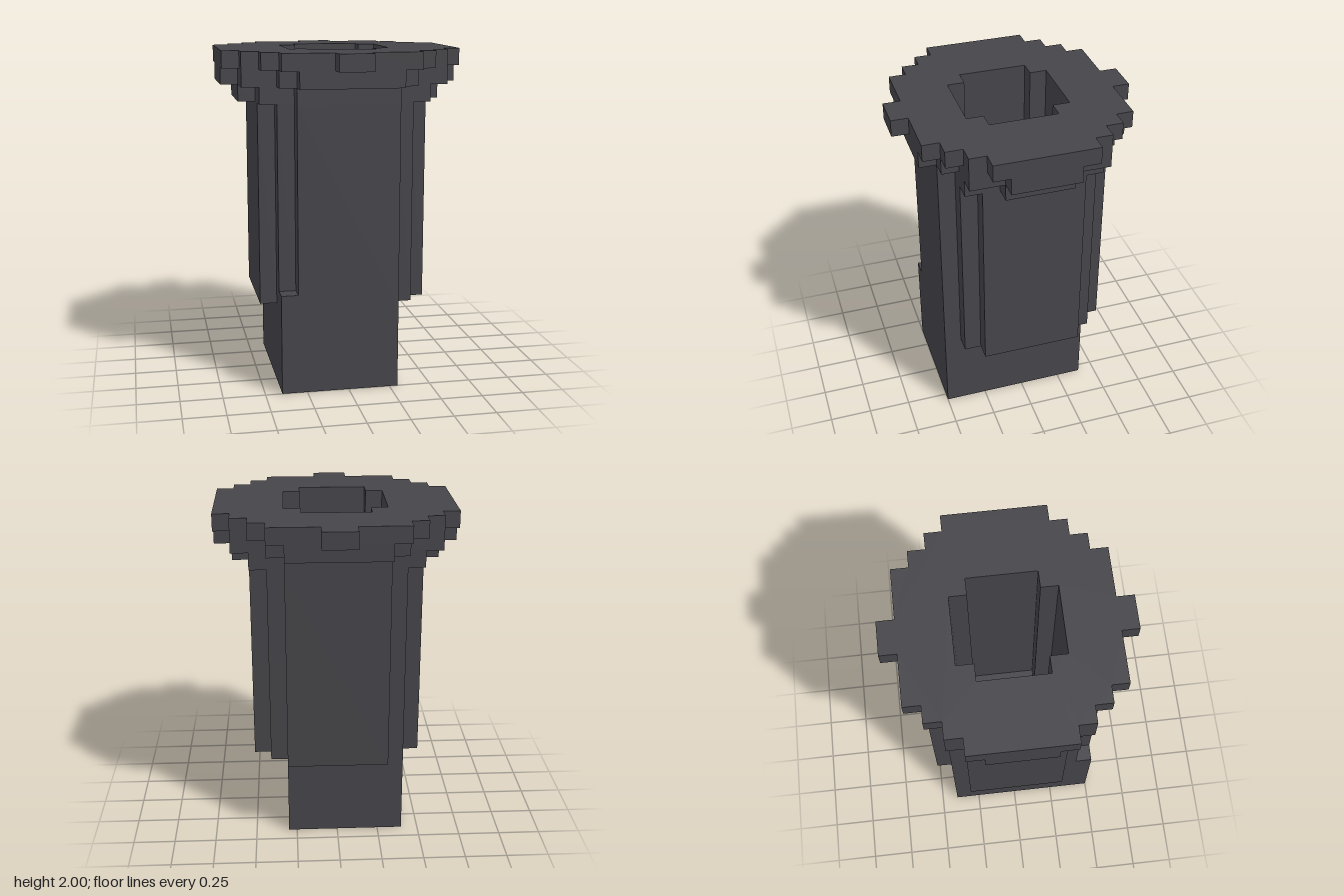
import * as THREE from 'three';

// Stepped counter-clockwise outline, symmetric in x and z, from [halfX, halfZ] corners of one quarter
function steppedPoints(steps) {
  const quarter = [];
  steps.forEach(([x, z], i) => {
    quarter.push([x, z]);
    if (i + 1 < steps.length) quarter.push([x, steps[i + 1][1]]);
  });
  const back = [...quarter].reverse();
  return [
    ...quarter,
    ...back.map(([x, z]) => [x, -z]),
    ...quarter.map(([x, z]) => [-x, -z]),
    ...back.map(([x, z]) => [-x, z]),
  ].map(([x, z]) => new THREE.Vector2(x, z)).reverse();
}

const BORE = [[0.2, 0.3], [0.3, 0.2]];

// Stacked layers, each with the same bore through it
const LAYERS = [
  { name: 'shaft', y0: 0.5, y1: 1.7, steps: [[0.3, 0.5], [0.4, 0.4], [0.5, 0.3]] },
  { name: 'collarLower', y0: 1.7, y1: 1.8, steps: [[0.3, 0.5], [0.5, 0.4], [0.6, 0.2]] },
  { name: 'collarMiddle', y0: 1.8, y1: 1.9, steps: [[0.3, 0.6], [0.4, 0.5], [0.6, 0.4], [0.7, 0.2]] },
  { name: 'collarRim', y0: 1.9, y1: 2.0, steps: [[0.1, 0.7], [0.4, 0.6], [0.5, 0.5], [0.6, 0.4], [0.7, 0.3]] },
];

export function createModel() {
  const model = new THREE.Group();
  model.name = 'steppedPillar';
  const stone = new THREE.MeshStandardMaterial({ color: 0x46454a });
  stone.name = 'darkStone';

  const add = (name, geometry) => {
    const mesh = new THREE.Mesh(geometry, stone);
    mesh.name = name;
    model.add(mesh);
  };

  const addBox = (name, x0, x1, y0, y1, z0, z1) => {
    const geometry = new THREE.BoxGeometry(x1 - x0, y1 - y0, z1 - z0);
    geometry.translate((x0 + x1) / 2, (y0 + y1) / 2, (z0 + z1) / 2);
    add(name, geometry);
  };

  // Off-centre base with a raised corner block
  addBox('base', -0.4, 0.3, 0, 0.5, -0.4, 0.5);
  addBox('baseCorner', -0.4, -0.3, 0.5, 0.6, 0.4, 0.5);

  // Hollow shaft and flaring collar
  for (const { name, y0, y1, steps } of LAYERS) {
    const shape = new THREE.Shape(steppedPoints(steps));
    shape.holes.push(new THREE.Path(steppedPoints(BORE)));
    const geometry = new THREE.ExtrudeGeometry(shape, { depth: y1 - y0, bevelEnabled: false });
    geometry.rotateX(-Math.PI / 2);
    geometry.translate(0, y0, 0);
    add(name, geometry);
  }

  return model;
}
